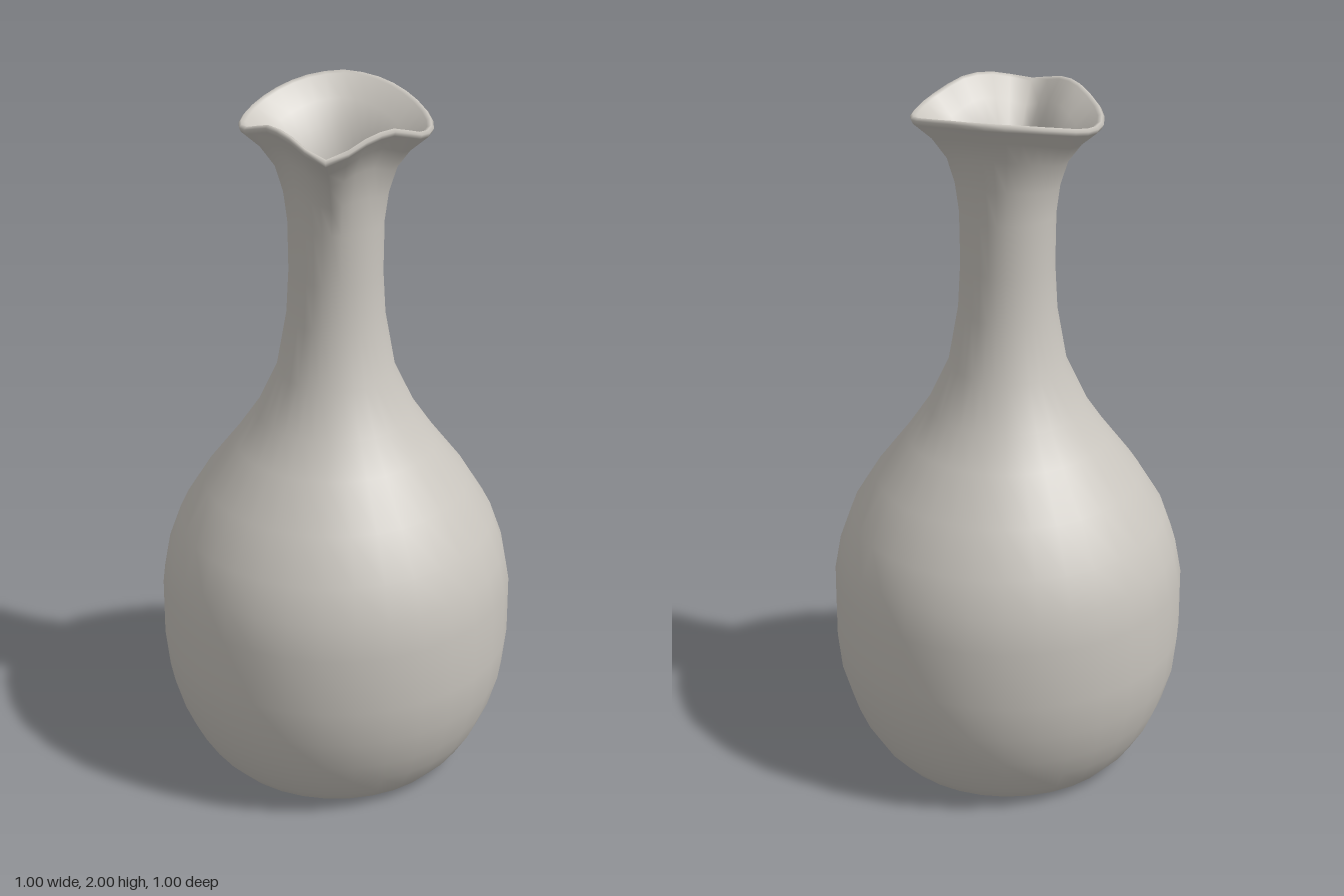
import * as THREE from 'three';
import { mergeVertices } from 'three/addons/utils/BufferGeometryUtils.js';

// Rim radius and rim height, sampled from the spout (front) round to the back.
const rimCurve = (values) => new THREE.SplineCurve(values.map((v, i) => new THREE.Vector2(i, v)));
const RIM_RADIUS = rimCurve([0.318, 0.262, 0.238, 0.253, 0.26, 0.26, 0.257, 0.262, 0.27]);
const RIM_HEIGHT = rimCurve([1.95, 1.983, 1.987, 1.955, 1.94, 1.95, 1.973, 1.992, 2.0]);
const NOMINAL_RADIUS = 0.26, NOMINAL_HEIGHT = 1.965;

const toPoints = (pairs) => pairs.map(([r, y]) => new THREE.Vector2(r, y));

// Pull the round neck into a pinched spout and a wavy rim.
function shapeRim(geometry) {
  const pos = geometry.attributes.position;
  for (let i = 0; i < pos.count; i++) {
    const x = pos.getX(i), y = pos.getY(i), z = pos.getZ(i);
    const w = THREE.MathUtils.smoothstep(y, 1.62, 1.96);
    if (w === 0) continue;
    const t = Math.abs(Math.atan2(x, z)) / Math.PI;
    const k = 1 + w * (RIM_RADIUS.getPoint(t).y / NOMINAL_RADIUS - 1);
    pos.setXYZ(i, x * k, y + w * (RIM_HEIGHT.getPoint(t).y - NOMINAL_HEIGHT), z * k);
  }
}

export function createModel() {
  const group = new THREE.Group();
  group.name = 'vase';
  const ceramic = new THREE.MeshStandardMaterial({ color: 0xc9c5be });
  ceramic.name = 'warm grey ceramic';

  const profile = toPoints([
    // recessed underside and foot
    [0, 0.03], [0.25, 0.03], [0.29, 0.015], [0.315, 0], [0.345, 0.012],
    // outer belly
    [0.39, 0.06], [0.43, 0.125], [0.46, 0.195], [0.488, 0.29], [0.5, 0.4], [0.5, 0.57],
    [0.482, 0.67], [0.447, 0.77], [0.375, 0.89], [0.285, 1.01],
    // outer neck and flare
    [0.225, 1.1], [0.165, 1.23], [0.137, 1.39], [0.13, 1.52], [0.132, 1.67], [0.143, 1.76],
    [0.165, 1.84], [0.205, 1.9], [0.255, 1.945],
    // rounded lip
    [0.26, 1.957], [0.253, 1.965], [0.241, 1.96],
    // inner flare and neck
    [0.19, 1.91], [0.147, 1.85], [0.122, 1.77], [0.109, 1.67], [0.106, 1.52], [0.112, 1.39],
    // inner belly and floor
    [0.14, 1.23], [0.2, 1.1], [0.26, 1.01], [0.35, 0.89], [0.42, 0.77], [0.457, 0.67],
    [0.475, 0.57], [0.475, 0.4], [0.435, 0.2], [0.37, 0.09], [0.3, 0.06], [0, 0.055],
  ]);

  let body = new THREE.LatheGeometry(profile, 32);
  shapeRim(body);
  // weld the seam so the shading is continuous
  body.deleteAttribute('uv');
  body.deleteAttribute('normal');
  body = mergeVertices(body, 1e-5);
  body.computeVertexNormals();

  const mesh = new THREE.Mesh(body, ceramic);
  mesh.name = 'vaseBody';
  group.add(mesh);
  return group;
}
